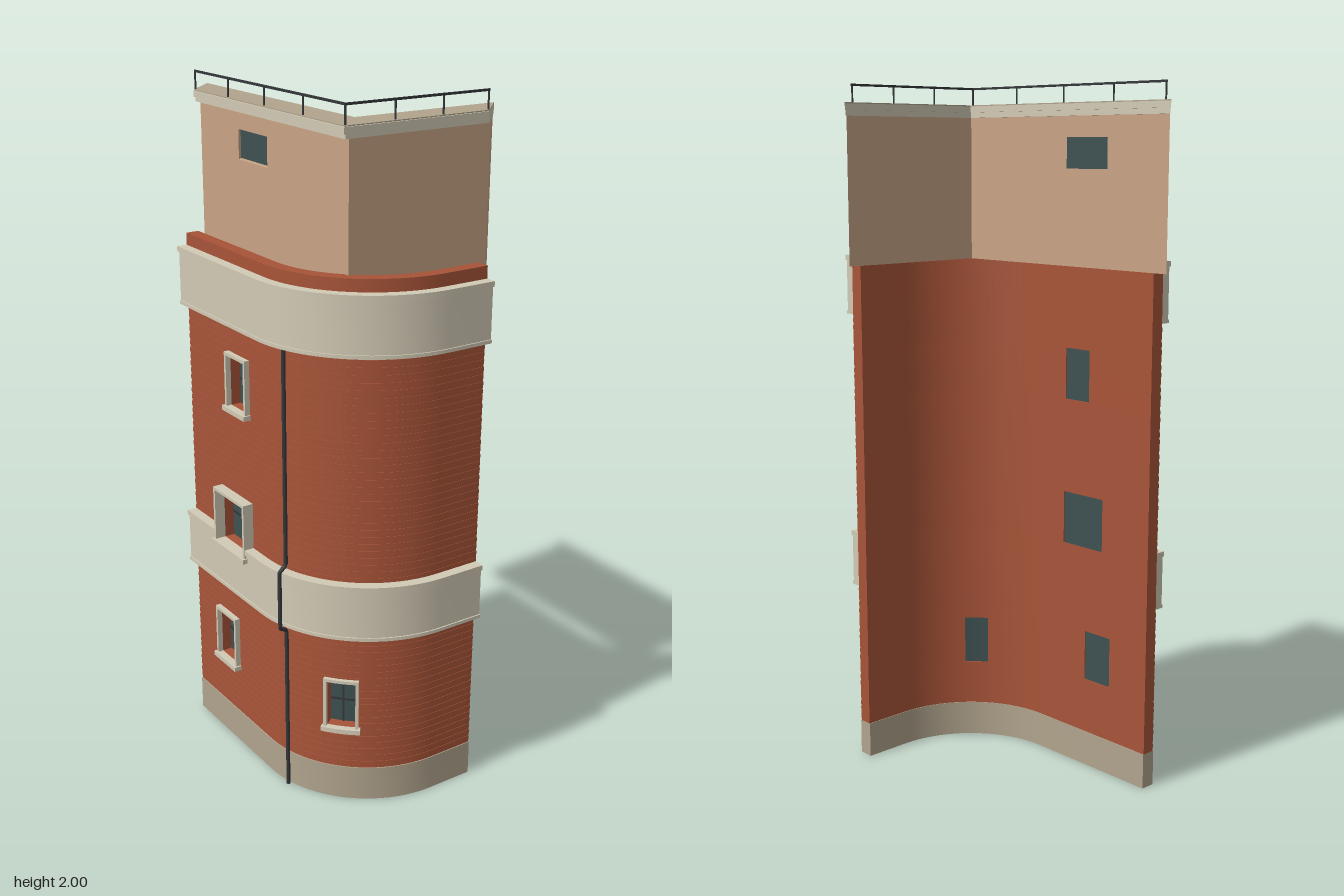
import * as THREE from 'three';
import { mergeGeometries, toCreasedNormals } from 'three/addons/utils/BufferGeometryUtils.js';

const mat = (name, color, side = THREE.FrontSide) => {
  const m = new THREE.MeshStandardMaterial({ color, side });
  m.name = name;
  return m;
};

// Plan of the curved facade: straight, quarter arc, straight (s runs along its outer face)
const R = 0.338, CX = 0.1, CZ = -0.046, LEFT = 0.425, RIGHT = 0.14;
const ARC = R * Math.PI / 2, END = LEFT + ARC + RIGHT, THICK = 0.039, STEPS = 24;

function facade(s, d) {
  const a = THREE.MathUtils.clamp((s - LEFT) / R, 0, Math.PI / 2) - Math.PI / 4;
  const run = s < LEFT ? s - LEFT : Math.max(0, s - LEFT - ARC);
  return [CX + (R + d) * Math.sin(a) + run * Math.cos(a), CZ + (R + d) * Math.cos(a) - run * Math.sin(a)];
}

// Raise a plan outline of [x, z] points from y0 to y1
function raise(points, y0, y1) {
  const shape = new THREE.Shape(points.map(([x, z]) => new THREE.Vector2(x, -z)));
  const g = new THREE.ExtrudeGeometry(shape, { depth: y1 - y0, bevelEnabled: false });
  g.rotateX(-Math.PI / 2).translate(0, y0, 0);
  return toCreasedNormals(g, 0.5);
}

// A piece following the facade from s0 to s1, between offsets d0 (inner) and d1 (outer)
function slab(s0, s1, y0, y1, d0, d1) {
  const stops = [s0];
  for (let i = 0; i <= STEPS; i++) {
    const s = LEFT + ARC * i / STEPS;
    if (s > s0 + 1e-4 && s < s1 - 1e-4) stops.push(s);
  }
  stops.push(s1);
  const outer = stops.map(s => facade(s, d1));
  const inner = stops.map(s => facade(s, d0)).reverse();
  return raise([...outer, ...inner], y0, y1);
}

// Openings: s range, y range, how far the surround stands out
const windows = [
  { name: 'upperWindow', s0: 0.235, s1: 0.328, y0: 1.11, y1: 1.26, out: 0.016 },
  { name: 'middleWindow', s0: 0.177, s1: 0.332, y0: 0.675, y1: 0.832, out: 0.032 },
  { name: 'lowerWindow', s0: 0.141, s1: 0.24, y0: 0.27, y1: 0.42, out: 0.016 },
  { name: 'cornerWindow', s0: 0.64, s1: 0.722, y0: 0.24, y1: 0.385, out: 0.012 },
];

// Slabs over the full length of the facade, leaving the windows open
function pierced(y0, y1, d0, d1, margin = 0) {
  const holes = windows.map(w => ({ s0: w.s0 - margin, s1: w.s1 + margin, y0: w.y0 - margin, y1: w.y1 + margin }));
  const levels = [y0, y1, ...holes.flatMap(h => [h.y0, h.y1])].filter(y => y >= y0 && y <= y1).sort((a, b) => a - b);
  const parts = [];
  for (let i = 0; i + 1 < levels.length; i++) {
    const [a, b] = [levels[i], levels[i + 1]];
    if (b - a < 1e-4) continue;
    let s = 0;
    holes.filter(h => h.y0 < b - 1e-5 && h.y1 > a + 1e-5).sort((p, q) => p.s0 - q.s0).forEach(h => {
      parts.push(slab(s, h.s0, a, b, d0, d1));
      s = h.s1;
    });
    parts.push(slab(s, END, a, b, d0, d1));
  }
  return mergeGeometries(parts);
}

// A piece of the V-shaped top storey; za and zb are the inner and outer z at its corner
function vee(x0, x1, y0, y1, za, zb) {
  const xs = x0 < CX && x1 > CX ? [x0, CX, x1] : [x0, x1];
  const line = z => xs.map(x => [x, z - Math.abs(x - CX)]);
  return raise([...line(zb), ...line(za).reverse()], y0, y1);
}

export function createModel() {
  const brick = mat('brick red', 0xa85438);
  const stone = mat('pale stone', 0xd2cab5);
  const concrete = mat('grey concrete', 0xb1a48d);
  const render = mat('tan render', 0xc8a486);
  const glass = mat('dark glass', 0x3e5051);
  const metal = mat('dark metal', 0x34373a);

  const model = new THREE.Group();
  const add = (name, geometry, material, parent = model) => {
    const mesh = new THREE.Mesh(geometry, material);
    mesh.name = name;
    parent.add(mesh);
    return mesh;
  };

  // Plinth and brick wall with shallow raised courses
  add('plinth', slab(0, END, 0, 0.105, -THICK - 0.002, 0.003), concrete);
  add('brickWall', pierced(0.105, 1.56, -THICK, 0), brick);
  const courses = [];
  for (let y = 0.115; y < 1.345; y += 0.021) {
    if (y > 0.52 && y < 0.7) continue;
    courses.push(pierced(y, y + 0.012, -0.002, 0.0015, 0.012));
  }
  add('brickCourses', mergeGeometries(courses), brick);

  // Two stone bands with projecting lips
  [['lowerBand', 0.535, 0.702], ['upperBand', 1.355, 1.525]].forEach(([name, y0, y1]) => {
    const band = new THREE.Group();
    band.name = name;
    model.add(band);
    add('bandFace', pierced(y0 + 0.01, y1 - 0.015, 0, 0.025), stone, band);
    add('bandTopLip', pierced(y1 - 0.015, y1, 0, 0.031), stone, band);
    add('bandBottomLip', pierced(y0, y0 + 0.01, 0, 0.029), stone, band);
  });

  // Windows: glass near the inner face, bars, stone surround and sill
  for (const { name, s0, s1, y0, y1, out } of windows) {
    const group = new THREE.Group();
    group.name = name;
    model.add(group);
    const w = 0.009, ym = (y0 + y1) / 2, sm = (s0 + s1) / 2;
    add('pane', slab(s0, s1, y0, y1, -0.036, -0.03), glass, group);
    add('bars', mergeGeometries([
      slab(s0, s1, ym - 0.003, ym + 0.003, -0.03, -0.027),
      slab(sm - 0.003, sm + 0.003, y0, y1, -0.03, -0.027),
    ]), metal, group);
    add('surround', mergeGeometries([
      slab(s0 - w, s0, y0, y1, 0, out),
      slab(s1, s1 + w, y0, y1, 0, out),
      slab(s0 - w, s1 + w, y1, y1 + w, 0, out),
    ]), stone, group);
    add('sill', slab(s0 - 0.014, s1 + 0.014, y0 - 0.014, y0, 0, out + 0.008), stone, group);
  }

  // Drainpipe stepping out around the lower band
  const pipe = new THREE.CurvePath();
  const stops = [[0, 0.012], [0.515, 0.012], [0.53, 0.038], [0.706, 0.038], [0.72, 0.012], [1.36, 0.012]]
    .map(([y, d]) => { const [x, z] = facade(0.5135, d); return new THREE.Vector3(x, y, z); });
  for (let i = 0; i + 1 < stops.length; i++) pipe.add(new THREE.LineCurve3(stops[i], stops[i + 1]));
  add('drainpipe', new THREE.TubeGeometry(pipe, 120, 0.006, 8), metal);

  // Top storey: thin V-shaped wall with one window in the long wing
  const XL = -0.432, XR = 0.418, ZI = 0.218, ZO = 0.265;
  const [wx0, wx1, wy0, wy1] = [-0.282, -0.175, 1.772, 1.856];
  add('topStorey', mergeGeometries([
    vee(XL, XR, 1.508, wy0, ZI, ZO),
    vee(XL, wx0, wy0, wy1, ZI, ZO),
    vee(wx1, XR, wy0, wy1, ZI, ZO),
    vee(XL, XR, wy1, 1.915, ZI, ZO),
  ]), render);
  add('topStoreyWindow', vee(wx0, wx1, wy0, wy1, ZO - 0.033, ZO - 0.025), glass);

  // Stepped cornice and flat roof covering
  add('corniceLower', vee(XL, XR, 1.912, 1.927, 0.202, 0.312), stone);
  add('corniceUpper', vee(XL, XR, 1.927, 1.944, 0.19, 0.332), stone);
  add('roofCovering', vee(XL, XR, 1.944, 1.947, 0.19, 0.325), concrete);

  // Railing along the outer roof edge
  const railing = new THREE.Group();
  railing.name = 'railing';
  model.add(railing);
  add('handrail', vee(XL, XR, 1.994, 2, 0.312, 0.32), metal, railing);
  const post = new THREE.CylinderGeometry(0.0028, 0.0028, 0.054, 6);
  const spots = [0, 1, 2, 3, 4].map(i => XL + (CX - XL) * i / 4)
    .concat([1, 2, 3].map(i => CX + (XR - CX) * i / 3));
  for (const x of spots) {
    const px = THREE.MathUtils.clamp(x, XL + 0.003, XR - 0.003);
    add('railPost', post, metal, railing).position.set(px, 1.971, 0.316 - Math.abs(px - CX));
  }
  return model;
}
